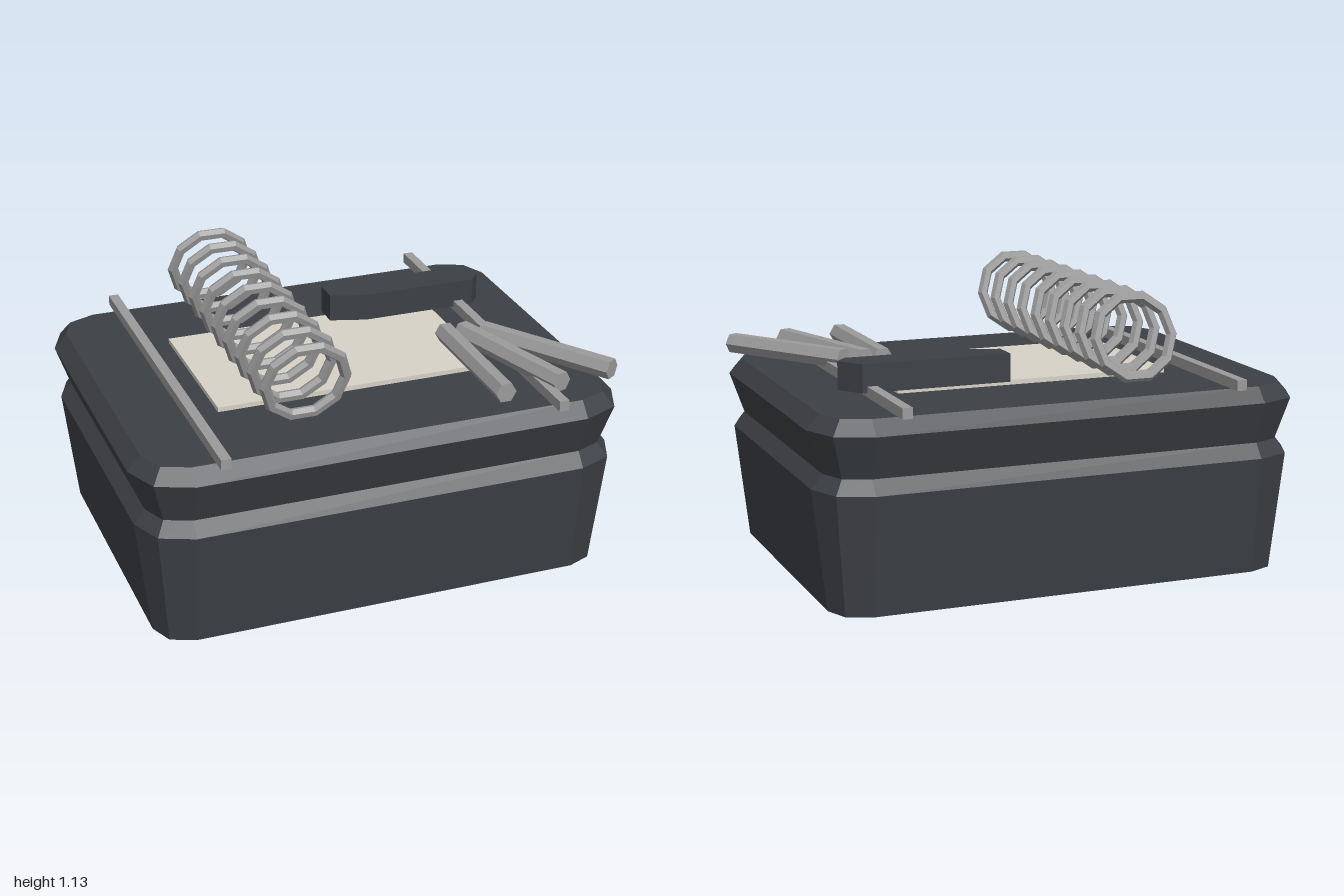
import * as THREE from 'three';

const mat = (color) => new THREE.MeshStandardMaterial({ color, flatShading: true });

// Chamfered-corner rectangle lofted through [y, cornerRadius] levels; the corner centres stay fixed.
function loft(levels, cx = 0.79, cz = 0.57) {
  const pos = [], index = [], n = 12;
  for (const [y, r] of levels) {
    for (let q = 0; q < 4; q++) {
      const sx = q === 0 || q === 3 ? 1 : -1, sz = q < 2 ? 1 : -1;
      for (let k = 0; k < 3; k++) {
        const a = (q + k / 2) * Math.PI / 2;
        pos.push(sx * cx + r * Math.cos(a), y, sz * cz + r * Math.sin(a));
      }
    }
  }
  for (let l = 0; l < levels.length - 1; l++) {
    for (let i = 0; i < n; i++) {
      const a = l * n + i, b = l * n + (i + 1) % n;
      index.push(a, a + n, b, b, a + n, b + n);
    }
  }
  // Bottom and top caps
  const top = (levels.length - 1) * n;
  for (let i = 1; i < n - 1; i++) {
    index.push(0, i, i + 1, top, top + i + 1, top + i);
  }
  const g = new THREE.BufferGeometry();
  g.setAttribute('position', new THREE.Float32BufferAttribute(pos, 3));
  g.setIndex(index);
  const flat = g.toNonIndexed();
  flat.computeVertexNormals();
  return flat;
}

export function createModel() {
  const group = new THREE.Group();
  const dark = mat(0x3c3f44), metal = mat(0x9a9a9a), pale = mat(0xd6d2c6);

  const add = (name, geometry, material, x = 0, y = 0, z = 0, parent = group) => {
    const mesh = new THREE.Mesh(geometry, material);
    mesh.name = name;
    mesh.position.set(x, y, z);
    parent.add(mesh);
    return mesh;
  };

  // Flared case and the lid above its groove
  add('case', loft([[0, 0.135], [0.475, 0.19], [0.53, 0.145]]), dark);
  add('lid', loft([[0.53, 0.145], [0.7, 0.205], [0.757, 0.152]]), dark);

  // Pale sheet on the lid
  add('sheet', new THREE.BoxGeometry(1.13, 0.022, 0.67), pale, -0.003, 0.765, -0.003);

  // Two long rails from front to back
  for (const x of [-0.68, 0.677]) {
    add('rail', new THREE.BoxGeometry(0.04, 0.042, 1.58), metal, x, 0.782, 0);
  }

  // Row of leaning coil rings
  const coil = new THREE.Group();
  coil.name = 'coil';
  group.add(coil);
  const ringGeometry = new THREE.TorusGeometry(0.16, 0.023, 6, 10);
  for (let i = 0; i < 9; i++) {
    const ring = add('coilRing', ringGeometry, metal, -0.305, 0.966, -0.604 + i * 0.15, coil);
    ring.rotation.x = 0.25;
  }

  // Dark pointed block lying flat
  const outline = [[0.115, -0.38], [0.715, -0.38], [0.785, -0.285], [0.74, -0.23], [0.26, -0.23], [0.115, -0.275]];
  const shape = new THREE.Shape(outline.map(([x, z]) => new THREE.Vector2(x, -z)));
  const block = new THREE.ExtrudeGeometry(shape, { depth: 0.112, bevelEnabled: false });
  block.rotateX(-Math.PI / 2);
  add('pointedBlock', block, dark, 0, 0.778, 0);

  // Fan of three hexagonal rods
  const rodGeometry = new THREE.CylinderGeometry(0.043, 0.043, 0.6, 6);
  rodGeometry.rotateY(Math.PI / 2);
  rodGeometry.rotateX(Math.PI / 2);
  for (let i = 0; i < 3; i++) {
    const rod = add('rod', rodGeometry, metal, 0.485 + i * 0.157, 0.817, 0.373);
    rod.rotation.y = i * 0.29;
  }

  return group;
}
